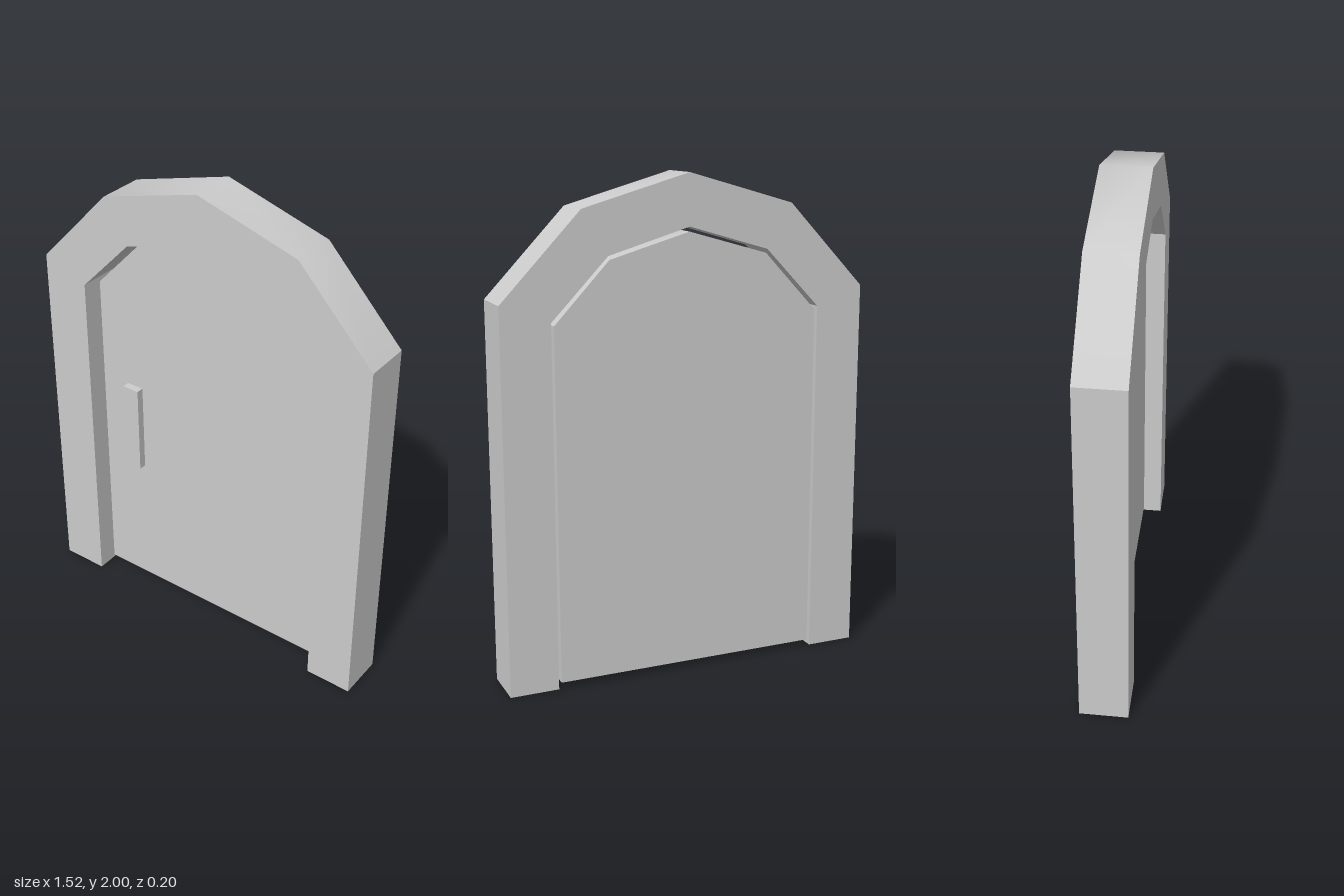
import * as THREE from 'three';
import { toCreasedNormals } from 'three/addons/utils/BufferGeometryUtils.js';

const CREASE = THREE.MathUtils.degToRad(38);

// Mirror a right-hand outline (bottom to apex) into a full arch, right foot to left foot
function archPoints(half) {
  const left = half.slice(0, -1).reverse().map(([x, y]) => [-x, y]);
  return [...half, ...left].map(([x, y]) => new THREE.Vector2(x, y));
}

// Extrude an outline from z0 to z1, smooth around the arch and sharp elsewhere
function slab(points, z0, z1) {
  const geo = new THREE.ExtrudeGeometry(new THREE.Shape(points), { depth: z1 - z0, bevelEnabled: false });
  geo.translate(0, 0, z0);
  return toCreasedNormals(geo, CREASE);
}

// Remove the faces lying on the ground, leaving the posts open underneath
function openBottom(geo) {
  const pos = geo.attributes.position;
  const keep = [];
  for (let i = 0; i < pos.count; i += 3) {
    const top = Math.max(pos.getY(i), pos.getY(i + 1), pos.getY(i + 2));
    if (top > 1e-4) keep.push(i, i + 1, i + 2);
  }
  geo.setIndex(keep);
  return geo;
}

export function createModel() {
  const group = new THREE.Group();
  group.name = 'archedDoor';
  const grey = new THREE.MeshStandardMaterial({ color: 0xcccccc });
  const greyOpen = new THREE.MeshStandardMaterial({ color: 0xcccccc, side: THREE.DoubleSide });

  const add = (name, geo, material) => {
    const mesh = new THREE.Mesh(geo, material);
    mesh.name = name;
    group.add(mesh);
    return mesh;
  };

  // Arched frame: outer outline up and over, inner outline back
  const outer = archPoints([[0.76, 0], [0.76, 1.535], [0.437, 1.875], [0, 2]]);
  const inner = archPoints([[0.562, 0], [0.562, 1.46], [0.333, 1.698], [0, 1.796]]);
  add('frame', openBottom(slab([...outer, ...inner.reverse()], -0.098, 0.098)), greyOpen);

  // Door leaf, flush with the back and recessed at the front
  const leaf = archPoints([[0.55, 0.025], [0.55, 1.447], [0.328, 1.683], [0, 1.777]]);
  add('door', slab(leaf, -0.096, 0.02), grey);

  // Upright handle bar on the front face
  add('handle', new THREE.BoxGeometry(0.076, 0.39, 0.035), grey).position.set(-0.385, 0.817, 0.0345);

  return group;
}
